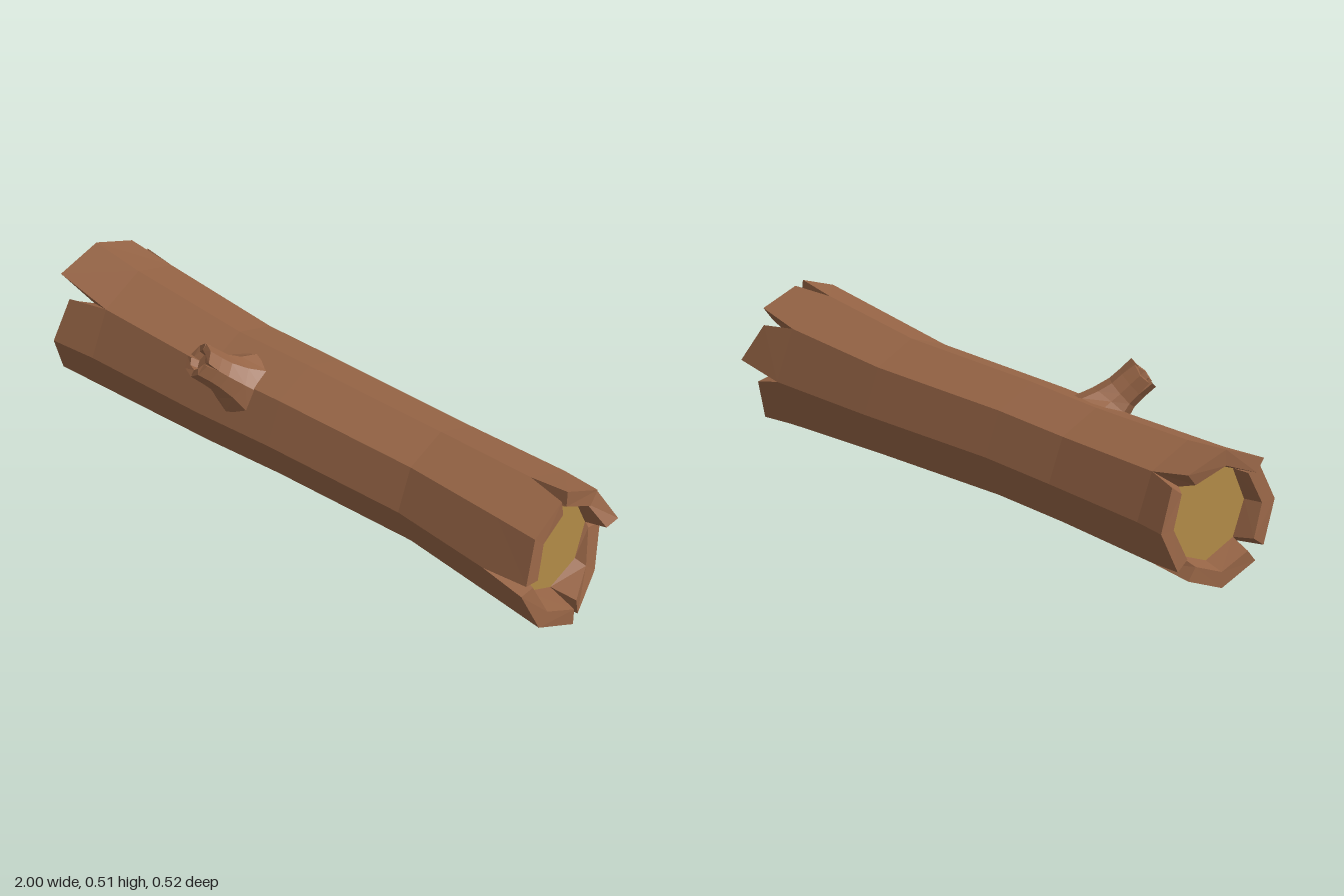
import * as THREE from 'three';

const V = (x, y, z) => new THREE.Vector3(x, y, z);

// A ring is a regular polygon: centre c, radius r, axes u and v, and axis u x v
function makeRing(c, r, sides, u = V(0, 1, 0), v = V(0, 0, 1)) {
  return { c, r, sides, u, v, axis: u.clone().cross(v) };
}

// Ring whose plane is square to a given direction
function ringAlong(c, r, sides, dir) {
  const d = dir.clone().normalize();
  const u = V(1, 0, 0).addScaledVector(d, -d.x).normalize();
  return makeRing(c, r, sides, u, d.clone().cross(u));
}

// Point on the polygon; fractional k lies on a straight edge
function at(ring, k, r = ring.r, off = 0) {
  const corner = (i) => {
    const a = (i * 2 * Math.PI) / ring.sides;
    return ring.c.clone()
      .addScaledVector(ring.u, Math.cos(a) * r)
      .addScaledVector(ring.v, Math.sin(a) * r);
  };
  const i = Math.floor(k);
  return corner(i).lerp(corner(i + 1), k - i).addScaledVector(ring.axis, off);
}

// Collects flat faces and turns them into a mesh
class Faces {
  constructor() { this.pos = []; }
  tri(a, b, c, flip) {
    for (const p of flip ? [a, c, b] : [a, b, c]) this.pos.push(p.x, p.y, p.z);
  }
  quad(a, b, c, d, flip) {
    this.tri(a, b, c, flip);
    this.tri(a, c, d, flip);
  }
  mesh(name, material) {
    const g = new THREE.BufferGeometry();
    g.setAttribute('position', new THREE.Float32BufferAttribute(this.pos, 3));
    g.computeVertexNormals();
    const m = new THREE.Mesh(g, material);
    m.name = name;
    return m;
  }
}

// Bark skin through successive rings
function skin(rings) {
  const f = new Faces();
  for (let i = 0; i + 1 < rings.length; i++) {
    for (let k = 0; k < rings[i].sides; k++) {
      f.quad(at(rings[i], k), at(rings[i], k + 1), at(rings[i + 1], k + 1), at(rings[i + 1], k));
    }
  }
  return f;
}

// Thick slat from corner k0, with one tip offset per corner. Its tip is narrowed
// by split so a V notch opens beside it; the hollow starts at depth past the root.
function slat(f, end, k0, offs) {
  const { root, tip, inRoot, inTip, depth, split, flip } = end;
  const n = offs.length - 1;
  const ks = offs.map((_, i) => k0 + i);
  const kt = ks.map((k, i) => k + (i === 0 ? split : i === n ? -split : 0));
  const ro = ks.map((k) => at(root, k));
  const ri = ks.map((k) => at(root, k, inRoot, depth));
  const to = kt.map((k, i) => at(tip, k, tip.r, offs[i]));
  const ti = kt.map((k, i) => at(tip, k, inTip, offs[i]));
  for (let i = 0; i < n; i++) {
    f.quad(ro[i], ro[i + 1], to[i + 1], to[i], flip); // outside
    f.quad(ri[i], ti[i], ti[i + 1], ri[i + 1], flip); // inside
    f.quad(to[i], to[i + 1], ti[i + 1], ti[i], flip); // end grain
  }
  f.quad(ro[0], to[0], ti[0], ri[0], flip); // notch sides
  f.quad(ro[n], ri[n], ti[n], to[n], flip);
}

// Disc closing the hollow
function disc(f, { root, inRoot, depth, flip }) {
  const centre = at(root, 0, 0, depth);
  for (let k = 0; k < root.sides; k++) {
    f.tri(centre, at(root, k, inRoot, depth), at(root, k + 1, inRoot, depth), flip);
  }
}

export function createModel() {
  const group = new THREE.Group();
  group.name = 'hollowLog';
  const bark = new THREE.MeshStandardMaterial({ color: 0x976546 });
  bark.name = 'brown bark';
  const heart = new THREE.MeshStandardMaterial({ color: 0xb28b47 });
  heart.name = 'tan heartwood';

  // Trunk: x, centre y, centre z, radius
  const rings = [
    [-0.8, 0.23, -0.022, 0.213],
    [-0.38, 0.228, -0.015, 0.198],
    [-0.1, 0.236, -0.022, 0.196],
    [0.42, 0.232, -0.042, 0.198],
    [0.8, 0.233, -0.028, 0.222],
  ].map(([x, y, z, r]) => makeRing(V(x, y, z), r, 8));
  group.add(skin(rings).mesh('trunk', bark));

  // Split ends: each slat has its first corner and the x of its tip corners
  const ends = [
    {
      name: 'left', root: rings[4], tip: makeRing(V(0, 0.232, -0.022), 0.234, 8),
      inRoot: 0.16, inTip: 0.178, depth: 0.08, split: 0.15, flip: false,
      slats: [
        [0, [0.955, 0.97, 0.985]],
        [2, [0.965, 0.985, 1.0]],
        [4, [0.975, 0.92, 0.89]],
        [6, [0.965, 0.915]],
        [7, [0.955, 0.935]],
      ],
    },
    {
      name: 'right', root: rings[0], tip: makeRing(V(0, 0.232, -0.025), 0.231, 8),
      inRoot: 0.16, inTip: 0.178, depth: -0.08, split: 0.17, flip: true,
      slats: [
        [-1, [-0.95, -0.975, -1.0]],
        [1, [-0.93, -0.945, -0.955]],
        [3, [-0.96, -0.955, -0.95]],
        [5, [-0.945, -0.93, -0.92]],
      ],
    },
  ];
  for (const e of ends) {
    const f = new Faces();
    for (const [k0, xs] of e.slats) slat(f, e, k0, xs);
    group.add(f.mesh(e.name + 'SplitEnd', bark));
    const cap = new Faces();
    disc(cap, e);
    group.add(cap.mesh(e.name + 'Heartwood', heart));
  }

  // Broken branch: flared base, bent neck, notched hollow tip
  const branch = new THREE.Group();
  branch.name = 'branchStub';
  const lean = V(-0.045, 0.07, 0.07);
  const neck = [
    ringAlong(V(-0.275, 0.345, 0.095), 0.1, 8, V(0, 1, 1)),
    ringAlong(V(-0.29, 0.378, 0.13), 0.072, 8, V(-0.02, 0.07, 0.07)),
    ringAlong(V(-0.308, 0.408, 0.16), 0.059, 8, lean),
    ringAlong(V(-0.324, 0.436, 0.186), 0.057, 8, lean),
  ];
  branch.add(skin(neck).mesh('branchNeck', bark));
  const stubEnd = {
    root: neck[3], tip: ringAlong(V(-0.342, 0.466, 0.215), 0.058, 8, lean),
    inRoot: 0.032, inTip: 0.035, depth: 0.022, split: 0.12, flip: false,
  };
  const f = new Faces();
  [[0, 0.005, 0.008], [0.004, -0.004, 0], [0.008, 0.004, -0.004], [0.002, 0.006, 0]]
    .forEach((offs, i) => slat(f, stubEnd, 2 * i, offs));
  disc(f, stubEnd);
  branch.add(f.mesh('branchTip', bark));
  group.add(branch);

  return group;
}
